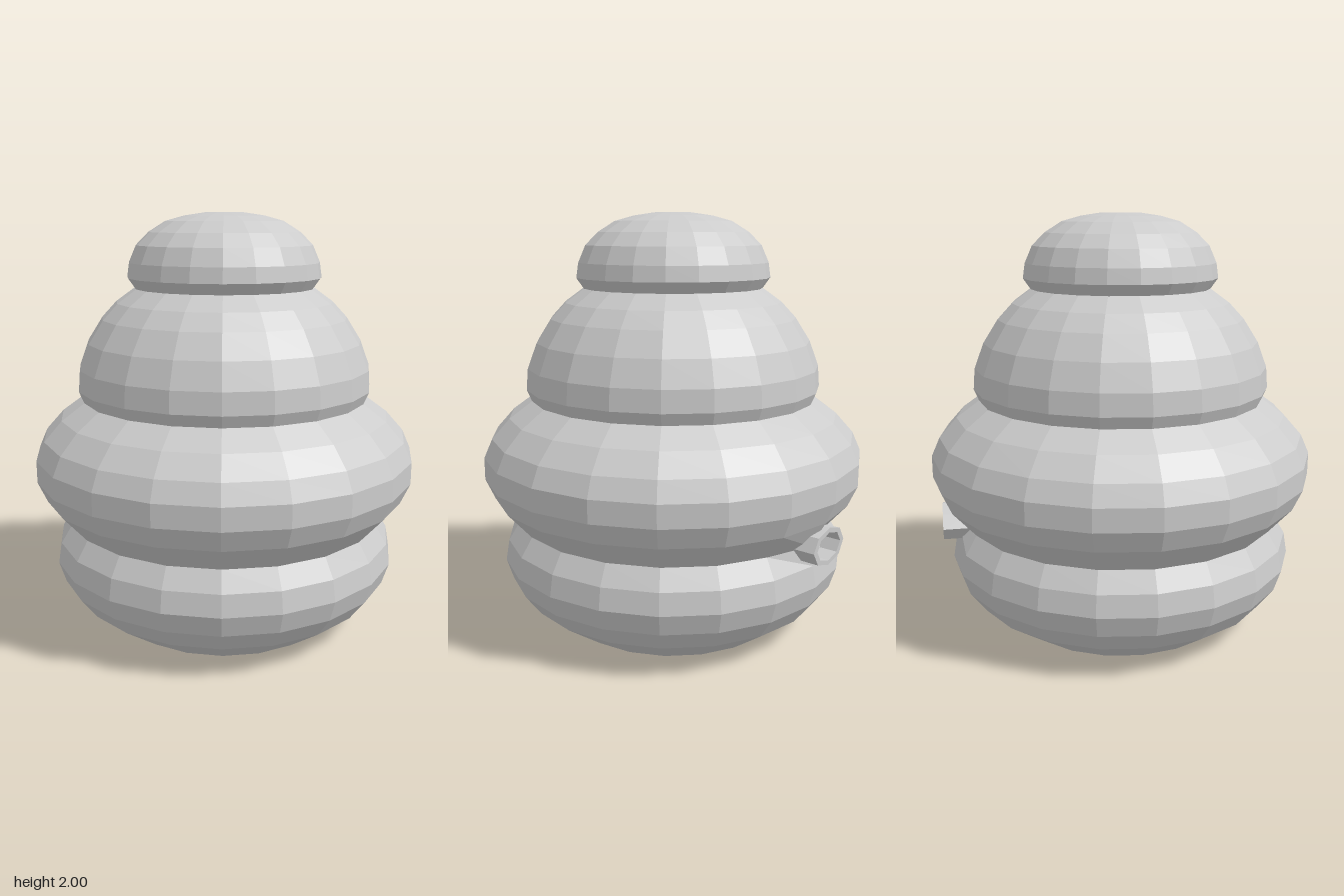
import * as THREE from 'three';

const SIDES = 20;
const material = new THREE.MeshStandardMaterial({ color: 0xcccccc, flatShading: true });

function add(group, name, geometry) {
  const mesh = new THREE.Mesh(geometry, material);
  mesh.name = name;
  group.add(mesh);
  return mesh;
}

// Bulging tiers as [radius, height] profiles, bottom to top
const TIERS = {
  baseTier: [[0, 0], [0.54, 0], [0.61, 0.05], [0.735, 0.14], [0.81, 0.24], [0.842, 0.34], [0.825, 0.44], [0.77, 0.53]],
  wideTier: [[0.77, 0.53], [0.88, 0.655], [0.925, 0.755], [0.925, 0.86], [0.885, 0.95], [0.8, 1.045], [0.69, 1.125]],
  upperTier: [[0.69, 1.125], [0.713, 1.18], [0.705, 1.28], [0.66, 1.4], [0.59, 1.51], [0.52, 1.585], [0.43, 1.65]],
  domeCap: [[0.43, 1.65], [0.465, 1.7], [0.455, 1.77], [0.42, 1.85], [0.36, 1.91], [0.28, 1.96], [0.19, 1.985], [0.09, 2], [0, 2]],
};

// Octagonal outline stretched sideways
function octagon(Target, rx, ry) {
  const points = [];
  for (let i = 0; i < 8; i++) {
    const a = (i * Math.PI) / 4;
    points.push(new THREE.Vector2(rx * Math.cos(a), ry * Math.sin(a)));
  }
  return new Target(points);
}

export function createModel() {
  const group = new THREE.Group();
  group.name = 'hive';

  for (const [name, profile] of Object.entries(TIERS)) {
    const geometry = new THREE.LatheGeometry(profile.map(([r, y]) => new THREE.Vector2(r, y)), SIDES);
    // The groove between the two lower tiers is filled out behind the entrance
    const p = geometry.attributes.position;
    for (let i = 0; i < p.count; i++) {
      const inGroove = Math.abs(p.getY(i) - 0.53) < 0.001;
      if (inGroove && p.getZ(i) < 0 && Math.abs(p.getX(i)) < 0.01) p.setZ(i, -0.81);
    }
    add(group, name, geometry);
  }

  // Short hollow entrance tube at the back
  const ring = octagon(THREE.Shape, 0.13, 0.088);
  ring.holes.push(octagon(THREE.Path, 0.1, 0.066));
  const tube = new THREE.ExtrudeGeometry(ring, { depth: 0.13, bevelEnabled: false });
  add(group, 'entrance', tube).position.set(-0.03, 0.54, -0.885);

  return group;
}
